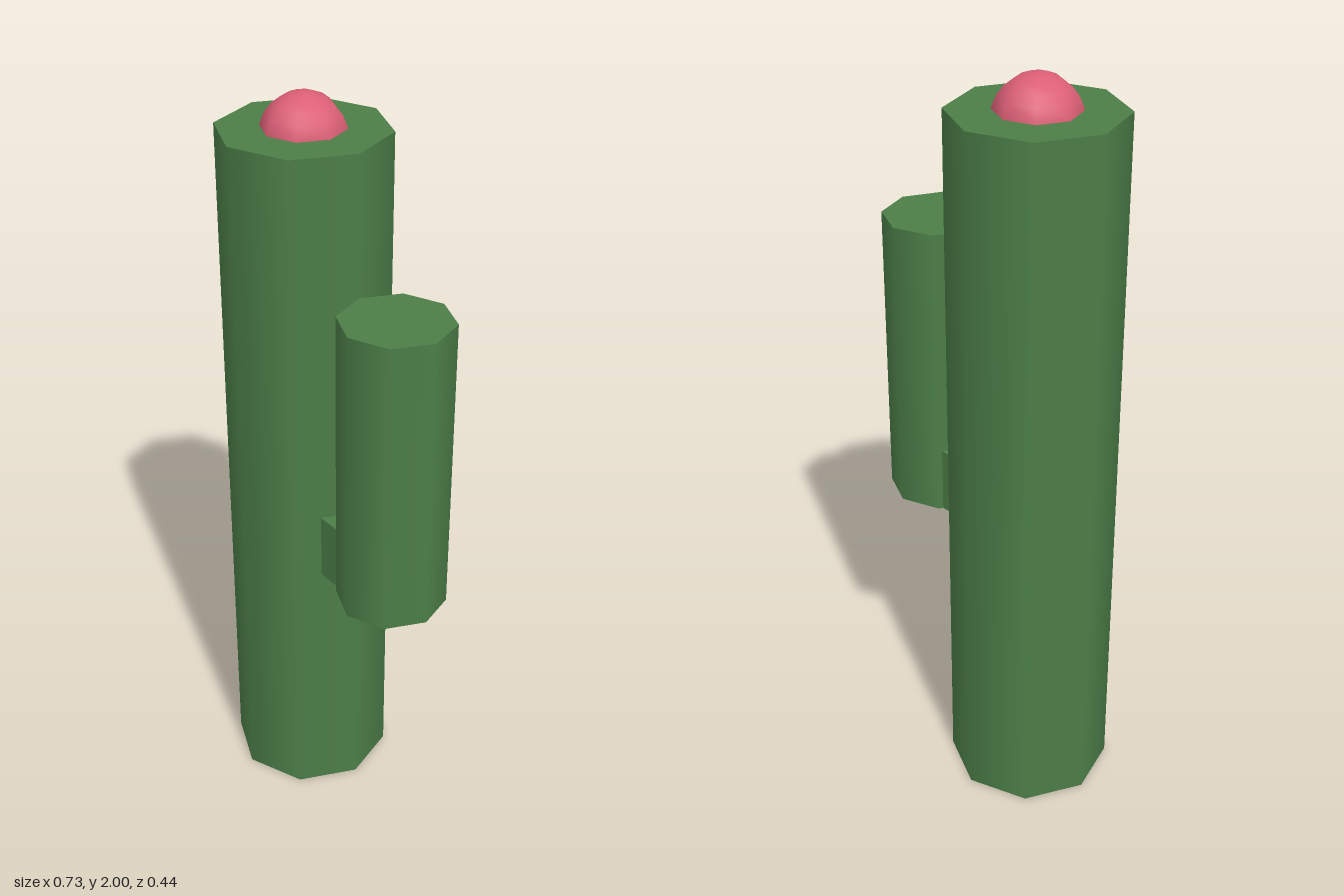
import * as THREE from 'three';

export function createModel() {
  const model = new THREE.Group();
  model.name = 'cactus';

  const green = new THREE.MeshStandardMaterial({ color: 0x4c7f48 });
  green.name = 'cactusGreen';
  const pink = new THREE.MeshStandardMaterial({ color: 0xdc5f76 });
  pink.name = 'flowerPink';

  const add = (name, geometry, material, x, y) => {
    const mesh = new THREE.Mesh(geometry, material);
    mesh.name = name;
    mesh.position.set(x, y, 0);
    model.add(mesh);
  };

  // Eight-sided smooth column standing on height y0
  const column = (name, radius, x, y0, y1) =>
    add(name, new THREE.CylinderGeometry(radius, radius, y1 - y0, 8), green, x, (y0 + y1) / 2);

  column('trunk', 0.22, -0.147, 0, 1.912);
  column('arm', 0.146, 0.22, 0.738, 1.546);

  // Short block joining the arm to the trunk
  add('armJoint', new THREE.BoxGeometry(0.2, 0.182, 0.182), green, 0.073, 0.829);

  // Flower dome, its rim sunk slightly into the trunk top
  add('flower', new THREE.SphereGeometry(0.11, 8, 6, 0, Math.PI * 2, 0, Math.PI / 2).toNonIndexed(), pink, -0.147, 1.89);

  return model;
}
